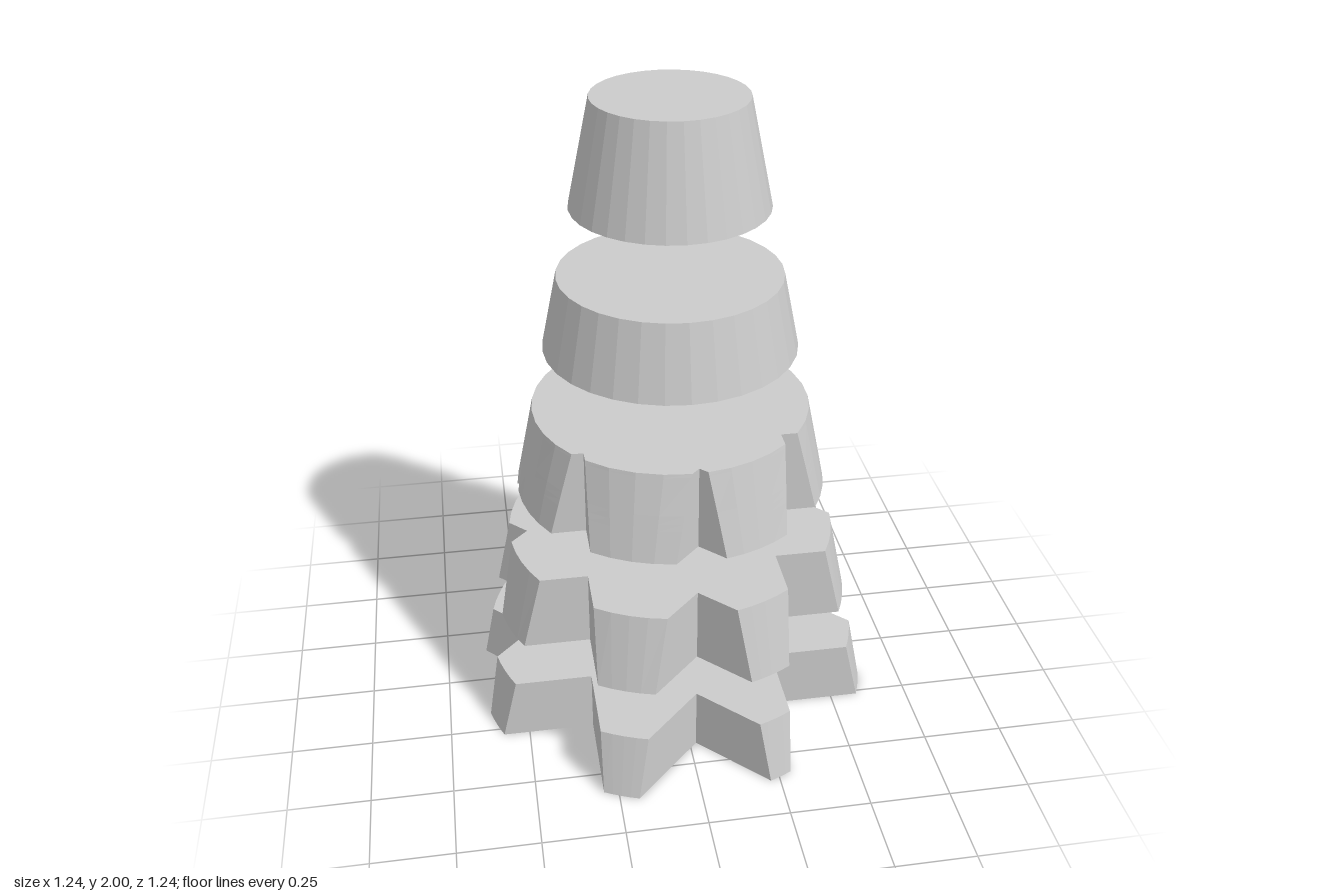
import * as THREE from 'three';

const AXIS_Z = 0.01; // the cone axis sits slightly forward
const ARC = 4; // facets on each tooth
const coneRadius = (y) => 0.64 - 0.2075 * y;

// Vertical V notches around the cone: inner corner x, z and direction in degrees (+x towards +z)
const NOTCHES = [
  [0.425, -0.025, 0], [0.29, 0.265, 45], [0.02, 0.41, 90], [-0.295, 0.277, 135],
  [-0.46, 0.01, 180], [-0.34, -0.285, 223], [-0.07, -0.44, 270], [0.255, -0.313, 315],
].map(([x, z, deg]) => ({ x, z: z - AXIS_Z, dir: THREE.MathUtils.degToRad(deg) }));

// Point where a notch wall, 45 degrees to the notch direction, leaves the cone
function wallAngle(notch, R, side) {
  const { x, z, dir } = notch;
  const dx = Math.cos(dir + side * Math.PI / 4), dz = Math.sin(dir + side * Math.PI / 4);
  const along = x * dx + z * dz;
  const t = -along + Math.sqrt(along * along + R * R - x * x - z * z);
  return Math.atan2(z + t * dz, x + t * dx);
}

// Closed outline of the notched cone at height y
function outline(y) {
  const R = coneRadius(y);
  const cuts = NOTCHES.map((n) => {
    const d = Math.hypot(n.x, n.z), a = Math.atan2(n.z, n.x);
    if (d >= R - 1e-6) return { start: a, end: a, x: n.x * R / d, z: n.z * R / d };
    return { start: wallAngle(n, R, -1), end: wallAngle(n, R, 1), x: n.x, z: n.z };
  });
  const points = [];
  cuts.forEach((cut, i) => {
    points.push(new THREE.Vector3(cut.x, y, cut.z));
    let span = cuts[(i + 1) % cuts.length].start - cut.end;
    if (span < 0) span += Math.PI * 2;
    for (let k = 0; k <= ARC; k++) {
      const a = cut.end + span * k / ARC;
      points.push(new THREE.Vector3(R * Math.cos(a), y, R * Math.sin(a)));
    }
  });
  return points;
}

// Slice between two heights, with extra rings where a notch runs out
function notchedSlice(y0, y1) {
  const ends = NOTCHES.map((n) => (0.64 - Math.hypot(n.x, n.z)) / 0.2075);
  const levels = [y0, ...ends.filter((y) => y > y0 && y < y1), y1].sort((a, b) => a - b);
  const rings = levels.map(outline);
  const data = [];
  const tri = (a, b, c) => {
    const area = b.clone().sub(a).cross(c.clone().sub(a)).length();
    if (area > 1e-8) [a, b, c].forEach((p) => data.push(p.x, p.y, p.z));
  };
  const n = rings[0].length;
  const bottom = new THREE.Vector3(0, y0, 0), top = new THREE.Vector3(0, y1, 0);
  for (let i = 0; i < n; i++) {
    const j = (i + 1) % n;
    for (let k = 0; k < rings.length - 1; k++) {
      const lo = rings[k], hi = rings[k + 1];
      tri(lo[i], hi[i], lo[j]);
      tri(lo[j], hi[i], hi[j]);
    }
    const last = rings[rings.length - 1];
    tri(bottom, rings[0][i], rings[0][j]);
    tri(top, last[j], last[i]);
  }
  const geometry = new THREE.BufferGeometry();
  geometry.setAttribute('position', new THREE.Float32BufferAttribute(data, 3));
  geometry.computeVertexNormals();
  return geometry;
}

// Plain round slice of the cone
function roundSlice(y0, y1) {
  return new THREE.CylinderGeometry(coneRadius(y1), coneRadius(y0), y1 - y0, 32)
    .translate(0, (y0 + y1) / 2, 0);
}

export function createModel() {
  const group = new THREE.Group();
  group.name = 'slicedTree';
  const material = new THREE.MeshStandardMaterial({ color: 0xcccccc, flatShading: true });
  const add = (name, geometry) => {
    const mesh = new THREE.Mesh(geometry, material);
    mesh.name = name;
    mesh.position.z = AXIS_Z;
    group.add(mesh);
  };

  // Floating tiers from the ground up
  add('baseTier', notchedSlice(0, 0.205));
  add('lowerTier', notchedSlice(0.355, 0.6));
  add('middleTier', notchedSlice(0.77, 1.04));
  add('upperTier', roundSlice(1.24, 1.47));
  add('topTier', roundSlice(1.68, 2));
  return group;
}
